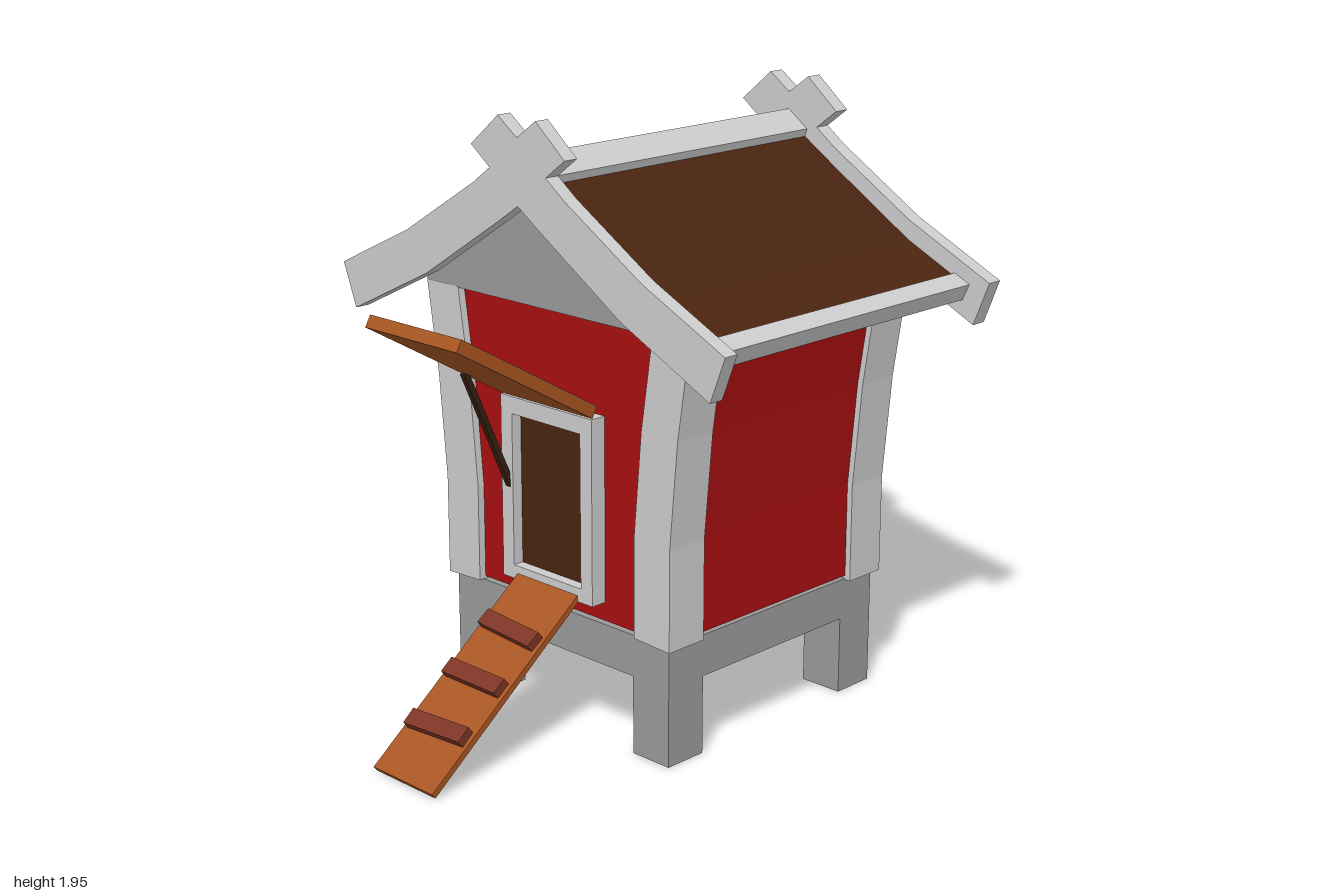
import * as THREE from 'three';

const paint = (name, color) => {
  const m = new THREE.MeshStandardMaterial({ color });
  m.name = name;
  return m;
};

export function createModel() {
  const trim = paint('light grey trim', 0xcccccc);
  const stone = paint('dark grey base', 0x999999);
  const red = paint('red walls', 0xa80f10);
  const brown = paint('dark brown', 0x4a2410);
  const wood = paint('orange wood', 0xa85522);
  const cleatWood = paint('reddish wood', 0x7c3424);
  const stick = paint('prop brown', 0x35200f);
  const glass = paint('blue glass', 0x0e6a8a);

  const root = new THREE.Group();
  root.name = 'coop';
  const midZ = -0.125;

  const add = (name, geo, mat, parent = root) => {
    const m = new THREE.Mesh(geo, mat);
    m.name = name;
    parent.add(m);
    return m;
  };
  // Box given by its limits
  const box = (name, mat, x0, x1, y0, y1, z0, z1) => {
    const m = add(name, new THREE.BoxGeometry(x1 - x0, y1 - y0, z1 - z0), mat);
    m.position.set((x0 + x1) / 2, (y0 + y1) / 2, (z0 + z1) / 2);
    return m;
  };
  const toShape = pts => new THREE.Shape(pts.map(p => new THREE.Vector2(p[0], p[1])));
  // Front outline extruded between two depths
  const slab = (name, mat, pts, z0, z1, hole) => {
    const shape = toShape(pts);
    if (hole) shape.holes.push(toShape(hole));
    const geo = new THREE.ExtrudeGeometry(shape, { depth: z1 - z0, bevelEnabled: false });
    geo.translate(0, 0, z0);
    return add(name, geo, mat);
  };
  const flip = pts => pts.map(([x, y]) => [-x, y]);
  const both = pts => [...pts, ...flip(pts).reverse().filter(p => Math.abs(p[0]) > 1e-6)];
  const rect = (w, y0, y1) => [[-w, y0], [w, y0], [w, y1], [-w, y1]];
  const sides = [['left', p => p], ['right', flip]];
  // Board laid between two points in the side plane, given as [z, y]
  const board = (name, mat, x, w, t, [z0, y0], [z1, y1]) => {
    const len = Math.hypot(z1 - z0, y1 - y0);
    const m = add(name, new THREE.BoxGeometry(w, t, len), mat);
    m.position.set(x, (y0 + y1) / 2, (z0 + z1) / 2);
    m.rotation.x = -Math.atan2(y1 - y0, z1 - z0);
    return m;
  };

  // Base: open ring on four legs
  const ring = new THREE.ExtrudeGeometry((() => {
    const s = toShape([[-0.475, -0.475], [0.475, -0.475], [0.475, 0.475], [-0.475, 0.475]]);
    s.holes.push(toShape([[-0.325, -0.35], [0.325, -0.35], [0.325, 0.35], [-0.325, 0.35]]));
    return s;
  })(), { depth: 0.135, bevelEnabled: false });
  ring.rotateX(-Math.PI / 2).translate(0, 0.255, midZ);
  add('baseFrame', ring, stone);
  for (const sx of [-1, 1]) for (const sz of [-1, 1]) {
    const x = sx * 0.4, z = midZ + sz * 0.4;
    box('leg', stone, x - 0.075, x + 0.075, 0, 0.255, z - 0.075, z + 0.075);
  }

  // Flared corner posts and hollow red walls
  const outer = [[0.495, 0.385], [0.495, 0.71], [0.525, 1.05], [0.57, 1.35]];
  const inset = (d, y0) => outer.map(([x, y], i) => [x - d, i ? y : y0]);
  const post = [...outer, ...inset(0.147, 0.392).reverse()];
  const sideWall = [...inset(0.02, 0.4), ...inset(0.04, 0.4).reverse()];
  for (const [side, turn] of sides) {
    slab(side + 'FrontPost', trim, turn(post), 0.22, 0.37);
    slab(side + 'BackPost', trim, turn(post), -0.62, -0.47);
    slab(side + 'Wall', red, turn(sideWall), -0.59, 0.34);
  }
  const endWall = both(inset(0.03, 0.4));
  slab('frontWall', red, endWall, 0.325, 0.345);
  slab('backWall', red, endWall, -0.595, -0.575);

  // Gable block under the roof
  slab('gable', stone, both([[0.57, 1.347], [0.57, 1.41], [0.43, 1.48], [0.09, 1.69], [0, 1.75]]), -0.619, 0.369);

  // Roof slab, shingle panels, eave trim and ridge cap
  const roofTop = [[0, 1.86], [0.2, 1.73], [0.505, 1.54], [0.825, 1.387]];
  const topAt = x => {
    const i = Math.max(1, roofTop.findIndex(p => p[0] >= x));
    const [a, b] = [roofTop[i - 1], roofTop[i]];
    return a[1] + (b[1] - a[1]) * (x - a[0]) / (b[0] - a[0]);
  };
  const strip = (xs, dTop, dLow) => [
    ...xs.map(x => [x, topAt(x) - dTop]),
    ...xs.map(x => [x, topAt(x) - dLow]).reverse()];
  const r0 = -0.7, r1 = 0.45;
  for (const [side, turn] of sides) {
    const under = [[0.72, 1.32], [0.41, 1.47], [0.09, 1.68], [0, 1.74]];
    slab(side + 'RoofSlab', trim, turn([...[0, 0.2, 0.505, 0.74].map(x => [x, topAt(x) - 0.072]), ...under]), r0, r1);
    slab(side + 'RoofPanel', brown, turn(strip([0.06, 0.2, 0.505, 0.695], 0.064, 0.073)), r0, r1);
    slab(side + 'EaveTrim', trim, turn([[0.692, topAt(0.692) - 0.052], [0.75, topAt(0.75) - 0.052], [0.725, 1.318], [0.68, 1.345]]), r0, r1);
  }
  slab('ridgeCap', trim, both([[0.07, 1.745], [0.08, 1.775], [0, 1.832]]), r0, r1);

  // Crossed barge boards at both ends
  const barge = both([[0, 1.685], [0.09, 1.625], [0.42, 1.415], [0.77, 1.245], [0.825, 1.387],
    [0.505, 1.54], [0.195, 1.73], [0.12, 1.785], [0.2, 1.845], [0.08, 1.945], [0, 1.887]]);
  slab('frontBargeBoard', trim, barge, 0.45, 0.5);
  slab('backBargeBoard', trim, barge, -0.755, -0.7);

  // Door and window with frames
  slab('doorFrame', trim, rect(0.2, 0.46, 1.055), 0.33, 0.4, rect(0.15, 0.505, 1.0));
  box('door', brown, -0.15, 0.15, 0.505, 1.0, 0.355, 0.363);
  slab('windowFrame', trim, rect(0.2, 0.7, 1.1), -0.655, -0.58, rect(0.15, 0.75, 1.05));
  box('windowPane', glass, -0.15, 0.15, 0.75, 1.05, -0.618, -0.61);

  // Raised shutters and their props
  board('frontShutter', wood, 0, 0.4, 0.04, [0.385, 1.075], [0.91, 1.38]);
  board('backShutter', wood, 0, 0.4, 0.04, [-0.64, 1.12], [-0.99, 1.322]);
  board('frontProp', stick, -0.172, 0.02, 0.02, [0.385, 0.75], [0.57, 1.16]);
  board('backProp', stick, 0.172, 0.02, 0.02, [-0.635, 0.85], [-0.91, 1.26]);

  // Ramp with crooked cleats
  const ramp = board('ramp', wood, 0, 0.27, 0.02, [0.39, 0.475], [0.992, 0.012]);
  [[-0.185, -0.06], [0, 0], [0.19, 0.06]].forEach(([z, turn]) => {
    const cleat = add('cleat', new THREE.BoxGeometry(0.24, 0.03, 0.055), cleatWood, ramp);
    cleat.position.set(0, 0.023, z);
    cleat.rotation.y = turn;
  });

  return root;
}
